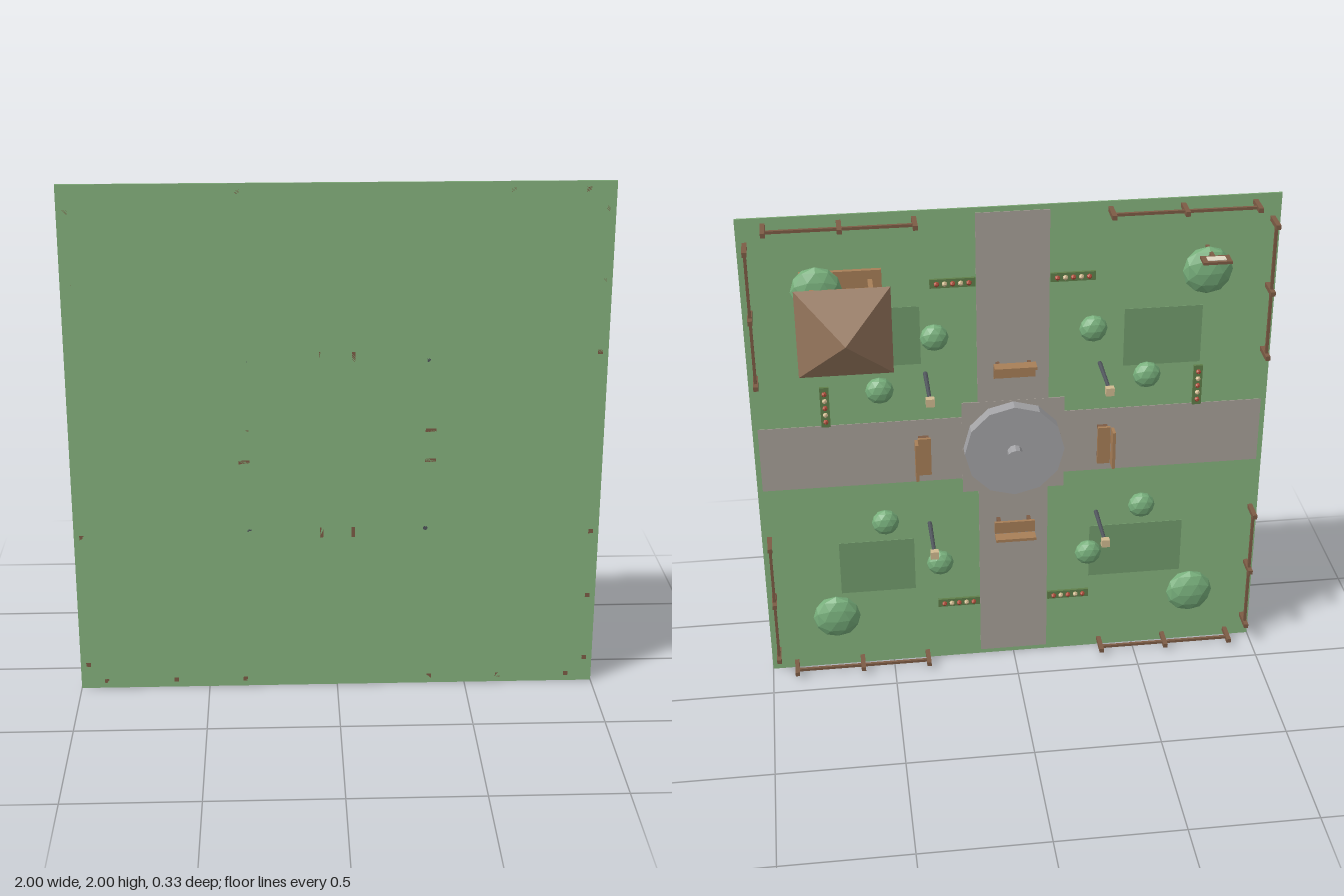
import * as THREE from 'three';

const C = {
  grass: 0x86b37e, lawn: 0x739c6d, path: 0xa8a098, stone: 0xa3a3a6, wood: 0x7d5c45, bench: 0xa87f58,
  roof: 0x9a7a60, bush: 0x78b07c, metal: 0x50555c, lamp: 0xd0ba90, cream: 0xe0d8c4, red: 0xb0503c, soil: 0x5f7f4a,
};
const mats = {};
const mat = (c) => (mats[c] ??= new THREE.MeshStandardMaterial({ color: C[c], flatShading: true }));

function add(parent, name, geo, color, x, y, z) {
  const m = new THREE.Mesh(geo, mat(color));
  m.name = name;
  m.position.set(x, y, z);
  parent.add(m);
  return m;
}

// Box whose underside sits at height y
const box = (p, name, color, w, h, d, x, y, z) =>
  add(p, name, new THREE.BoxGeometry(w, h, d), color, x, y + h / 2, z);
const cyl = (p, name, color, rTop, rBot, h, n, x, y, z) =>
  add(p, name, new THREE.CylinderGeometry(rTop, rBot, h, n), color, x, y + h / 2, z);

function group(parent, name, x = 0, z = 0, turn = 0) {
  const g = new THREE.Group();
  g.name = name;
  g.position.set(x, 0, z);
  g.rotation.y = turn;
  parent.add(g);
  return g;
}

function bush(parent, r, half, x, z) {
  const m = add(parent, 'bush', new THREE.IcosahedronGeometry(1, 1), 'bush', x, half + 0.008, z);
  m.scale.set(r, half, r);
}

function bench(parent, turn) {
  const g = group(parent, 'bench', 0, 0, turn);
  box(g, 'benchSeat', 'bench', 0.16, 0.012, 0.05, 0, 0.048, 0.35);
  box(g, 'benchBack', 'bench', 0.16, 0.046, 0.012, 0, 0.06, 0.382);
  for (const s of [-1, 1]) box(g, 'benchLeg', 'wood', 0.014, 0.048, 0.04, s * 0.06, 0, 0.35);
}

// One side of the park boundary: two runs of three posts, open at the path
function fenceSide(parent, turn) {
  const g = group(parent, 'fence', 0, 0, turn);
  for (const s of [-1, 1]) {
    for (const x of [0.36, 0.63, 0.9]) box(g, 'fencePost', 'wood', 0.018, 0.097, 0.018, s * x, 0, 0.97);
    box(g, 'fenceRail', 'wood', 0.53, 0.011, 0.011, s * 0.63, 0.06, 0.97);
  }
}

function flowerBed(parent, x, z, turn) {
  const g = group(parent, 'flowerBed', x, z, turn);
  box(g, 'bedSoil', 'soil', 0.17, 0.012, 0.035, 0, 0.004, 0);
  ['red', 'lamp', 'red', 'lamp', 'red'].forEach((c, i) =>
    add(g, 'flower', new THREE.IcosahedronGeometry(0.011, 0), c, (i - 2) * 0.03, 0.02, 0));
}

function pavilion(parent) {
  const g = group(parent, 'pavilion', 0.635, 0.633);
  box(g, 'pavilionFloor', 'bench', 0.3, 0.02, 0.3, 0, 0.003, 0);
  for (const sx of [-1, 1]) for (const sz of [-1, 1])
    box(g, 'pavilionPost', 'bench', 0.017, 0.2, 0.017, sx * 0.107, 0.02, sz * 0.107);
  box(g, 'pavilionRail', 'bench', 0.21, 0.012, 0.012, 0, 0.09, 0.107);
  box(g, 'pavilionRail', 'bench', 0.012, 0.012, 0.21, 0.107, 0.09, 0);
  const roof = cyl(g, 'pavilionRoof', 'roof', 0, 0.172 * Math.SQRT2, 0.118, 4, 0, 0.217, 0);
  roof.rotation.y = Math.PI / 4;
}

export function createModel() {
  const model = new THREE.Group();
  model.name = 'park';

  // The park is laid out flat, then tipped upright so its height runs to the back
  const park = group(model, 'parkLayout');
  park.rotation.x = -Math.PI / 2;
  park.position.set(0, 1, 0.167);

  // Ground, paths and darker lawns
  box(park, 'ground', 'grass', 2, 0.006, 2, 0, 0, 0);
  box(park, 'path', 'path', 0.275, 0.003, 1.96, 0, 0.006, 0);
  box(park, 'crossPath', 'path', 1.96, 0.0025, 0.275, 0, 0.006, 0);
  box(park, 'plaza', 'path', 0.4, 0.004, 0.4, 0, 0.006, 0);
  for (const [x, z, w] of [[0.5, 0.5, 0.3], [-0.575, 0.44, 0.3], [0.55, -0.525, 0.3], [-0.5, -0.525, 0.38]])
    box(park, 'lawn', 'lawn', w, 0.002, 0.24, x, 0.006, z);

  // Fountain
  const fountain = group(park, 'fountain');
  cyl(fountain, 'basin', 'stone', 0.195, 0.195, 0.055, 12, 0, 0.006, 0);
  cyl(fountain, 'column', 'stone', 0.025, 0.03, 0.075, 10, 0, 0.06, 0);
  cyl(fountain, 'dish', 'stone', 0.052, 0.045, 0.013, 12, 0, 0.13, 0);

  // Benches and fences on all four sides
  for (let k = 0; k < 4; k++) {
    bench(park, k * Math.PI / 2);
    fenceSide(park, k * Math.PI / 2);
  }

  // Bushes and a lamp in each quarter
  for (const sx of [-1, 1]) for (const sz of [-1, 1]) {
    bush(park, 0.095, 0.044, sx * 0.725, sz * 0.725);
    bush(park, 0.054, 0.035, sx * 0.3, sz * 0.505);
    bush(park, 0.054, 0.035, sx * 0.512, sz * 0.295);
    const lamp = group(park, 'lamp', sx * 0.335, sz * 0.337);
    cyl(lamp, 'lampPole', 'metal', 0.007, 0.009, 0.22, 8, 0, 0, 0);
    box(lamp, 'lampHead', 'lamp', 0.032, 0.024, 0.032, 0, 0.22, 0);
  }

  // Flower beds
  for (const s of [-1, 1]) {
    flowerBed(park, s * 0.225, 0.71, 0);
    flowerBed(park, s * 0.225, -0.725, 0);
    flowerBed(park, s * 0.72, 0.22, Math.PI / 2);
  }

  pavilion(park);

  // Notice board
  const sign = group(park, 'noticeBoard', -0.728, 0.8);
  box(sign, 'noticePost', 'wood', 0.014, 0.14, 0.014, 0, 0, 0);
  box(sign, 'noticePanel', 'wood', 0.108, 0.06, 0.01, 0, 0.128, 0.012);
  box(sign, 'noticeSheet', 'cream', 0.07, 0.034, 0.003, 0, 0.141, 0.018);

  return model;
}
